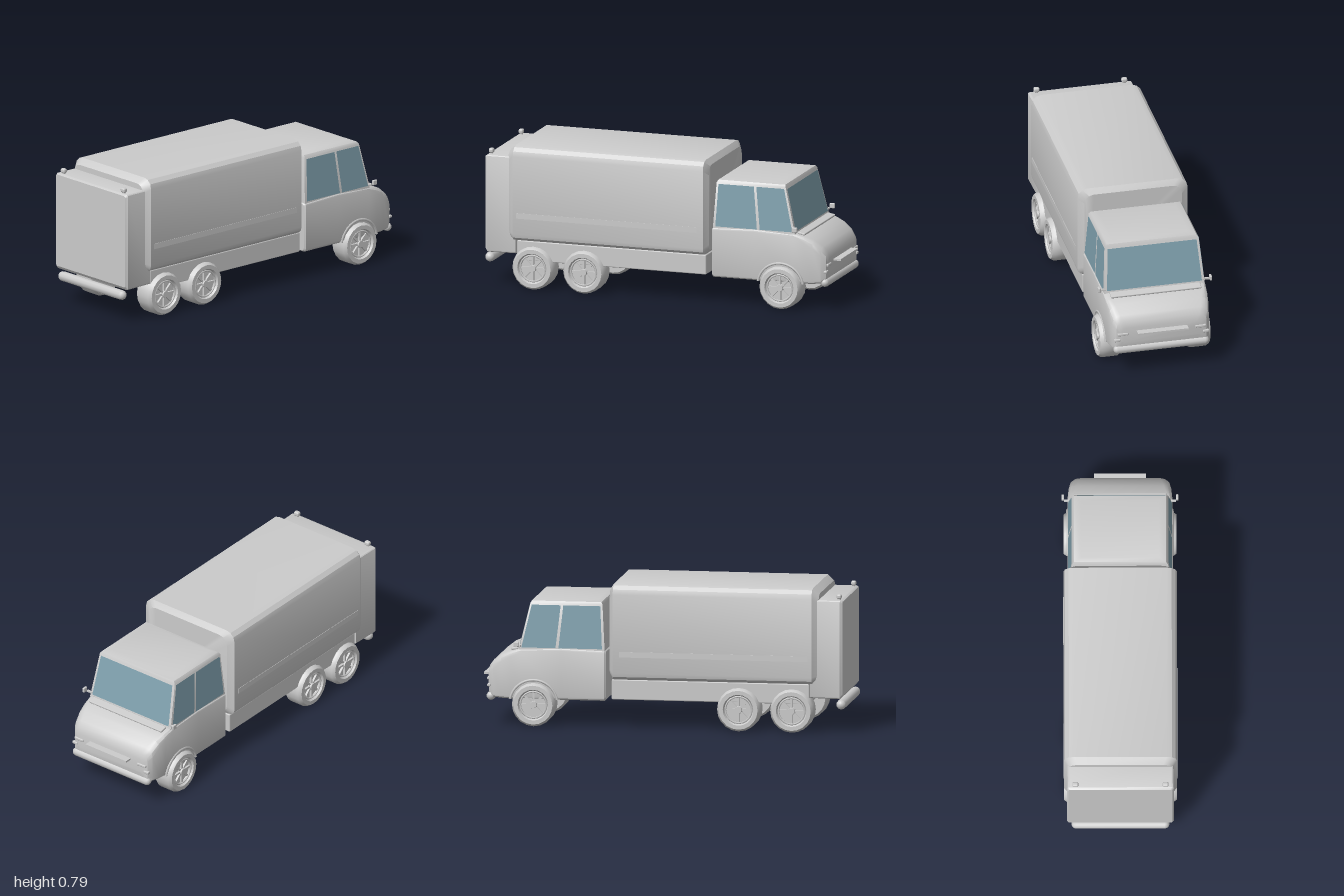
import * as THREE from 'three';
import { toCreasedNormals } from 'three/addons/utils/BufferGeometryUtils.js';
import { RoundedBoxGeometry } from 'three/addons/geometries/RoundedBoxGeometry.js';

const grey = new THREE.MeshStandardMaterial({ color: 0xcccccc });
const glass = new THREE.MeshStandardMaterial({ color: 0x7fa0ad, side: THREE.DoubleSide });

export function createModel() {
  const truck = new THREE.Group();
  truck.name = 'boxTruck';

  const add = (name, geometry, x = 0, y = 0, z = 0, parent = truck, material = grey) => {
    const mesh = new THREE.Mesh(geometry, material);
    mesh.name = name;
    mesh.position.set(x, y, z);
    parent.add(mesh);
    return mesh;
  };

  // Closed skin through rings of [x, y, z] points, capped at both ends
  const loft = (rings, crease = 0.5) => {
    const pos = [];
    const tri = (...p) => p.forEach((q) => pos.push(...q));
    const n = rings[0].length;
    const first = rings[0], last = rings[rings.length - 1];
    for (let k = 0; k < rings.length - 1; k++) {
      const a = rings[k], b = rings[k + 1];
      for (let i = 0; i < n; i++) {
        const j = (i + 1) % n;
        tri(a[i], a[j], b[j]);
        tri(a[i], b[j], b[i]);
      }
    }
    for (let i = 1; i < n - 1; i++) {
      tri(first[0], first[i + 1], first[i]);
      tri(last[0], last[i], last[i + 1]);
    }
    const g = new THREE.BufferGeometry();
    g.setAttribute('position', new THREE.Float32BufferAttribute(pos, 3));
    return toCreasedNormals(g, crease);
  };

  // Upright cross-section with rounded corners: top radius rt, bottom radius rb
  const section = (z, w, y0, y1, rt, rb) => {
    const ring = [];
    [[1, y0 + rb, rb, 3], [1, y1 - rt, rt, 0], [-1, y1 - rt, rt, 1], [-1, y0 + rb, rb, 2]]
      .forEach(([s, cy, r, quarter]) => {
        for (let i = 0; i <= 3; i++) {
          const a = (quarter + i / 3) * Math.PI / 2;
          ring.push([s * (w - r) + r * Math.cos(a), cy + r * Math.sin(a), z]);
        }
      });
    return ring;
  };

  // Cargo body
  add('cargoBody', loft([
    section(-0.287, 0.27, 0.285, 0.755, 0.05, 0.035),
    section(-0.265, 0.305, 0.262, 0.785, 0.055, 0.04),
    section(0.82, 0.305, 0.262, 0.785, 0.055, 0.04),
    section(0.855, 0.28, 0.28, 0.755, 0.05, 0.035),
  ]));

  // Rear compartment
  add('rearCompartment', loft([
    section(0.81, 0.285, 0.19, 0.725, 0.012, 0.012),
    section(0.972, 0.288, 0.188, 0.725, 0.012, 0.012),
    section(0.985, 0.28, 0.205, 0.718, 0.01, 0.01),
  ]));

  // Chassis
  add('chassis', new RoundedBoxGeometry(0.56, 0.11, 1.08, 1, 0.006), 0, 0.21, 0.265);

  // Cab lower body with tapering nose: z, half width, bottom, top, corner radius
  add('cabBody', loft([
    [-0.955, 0.225, 0.2, 0.285, 0.03],
    [-0.948, 0.25, 0.165, 0.32, 0.04],
    [-0.925, 0.267, 0.15, 0.35, 0.045],
    [-0.88, 0.276, 0.147, 0.385, 0.04],
    [-0.83, 0.281, 0.145, 0.405, 0.03],
    [-0.77, 0.284, 0.145, 0.42, 0.02],
    [-0.55, 0.284, 0.145, 0.428, 0.015],
    [-0.315, 0.284, 0.145, 0.42, 0.015],
    [-0.307, 0.277, 0.152, 0.413, 0.012],
  ].map(([z, w, y0, y1, r]) => section(z, w, y0, y1, r, 0.018))));

  // Upper cab with a gently crowned roof: y, half width, rear z, front z
  const lower = { y: 0.415, w: 0.278, rear: -0.313, front: -0.782 };
  const upper = { y: 0.667, w: 0.258, rear: -0.328, front: -0.722 };
  const level = (y, w, rear, front) => [[-w, y, rear], [w, y, rear], [w, y, front], [-w, y, front]];
  add('upperCab', loft([
    level(lower.y, lower.w, lower.rear, lower.front),
    level(upper.y, upper.w, upper.rear, upper.front),
    level(0.68, 0.248, -0.335, -0.716),
    level(0.688, 0.21, -0.36, -0.68),
  ], 0.6));

  // Window panes lying just outside the upper cab
  const mix = THREE.MathUtils.lerp;
  const pane = (name, corners) => {
    const g = new THREE.BufferGeometry();
    g.setAttribute('position', new THREE.Float32BufferAttribute(corners.flat(), 3));
    g.setIndex([0, 1, 2, 0, 2, 3]);
    g.computeVertexNormals();
    add(name, g, 0, 0, 0, truck, glass);
  };
  const sidePoint = (s, u, v) => [
    s * (mix(lower.w, upper.w, v) + 0.003),
    mix(lower.y, upper.y, v),
    mix(mix(lower.rear, upper.rear, v), mix(lower.front, upper.front, v), u),
  ];
  const frontPoint = (u, v) => [
    u * mix(lower.w, upper.w, v), mix(lower.y, upper.y, v), mix(lower.front, upper.front, v) - 0.003,
  ];
  const turn = (s, list) => (s > 0 ? list : list.reverse());
  for (const s of [1, -1]) {
    [['rearSideWindow', 0.03, 0.54], ['frontSideWindow', 0.575, 0.975]].forEach(([name, a, b]) =>
      pane(name, turn(s, [sidePoint(s, a, 0.05), sidePoint(s, b, 0.05), sidePoint(s, b, 0.97), sidePoint(s, a, 0.97)])));
  }
  pane('windshield', [frontPoint(0.95, 0.06), frontPoint(-0.95, 0.06), frontPoint(-0.95, 0.96), frontPoint(0.95, 0.96)]);

  // Cowl below the windshield and plate at the nose
  const cowl = add('cowl', new RoundedBoxGeometry(0.5, 0.012, 0.045, 1, 0.004), 0, 0.416, -0.806);
  cowl.rotation.x = -0.2;
  const plate = new THREE.Shape();
  plate.moveTo(-0.14, 0.05);
  plate.lineTo(0.14, 0.05);
  plate.lineTo(0.14, 0);
  plate.lineTo(-0.14, 0);
  const plateGeometry = new THREE.ExtrudeGeometry(plate, { depth: 0.01, bevelEnabled: false });
  plateGeometry.rotateX(-Math.PI / 2);
  add('nosePlate', plateGeometry, 0, 0.256, -0.945);

  // Round bumpers
  const bumper = (name, y, z, r) => {
    const bar = add(name, new THREE.CapsuleGeometry(r, 0.53 - 2 * r, 3, 10), 0, y, z);
    bar.rotation.z = Math.PI / 2;
  };
  bumper('rearBumper', 0.152, 0.972, 0.027);
  bumper('frontBumper', 0.155, -0.94, 0.024);

  // Wheel with a recessed spoked rim, axle along y before turning
  const tyreProfile = [
    [0, -0.058], [0.085, -0.06], [0.106, -0.06], [0.118, -0.042], [0.118, 0.042],
    [0.106, 0.06], [0.084, 0.06], [0.078, 0.052], [0.074, 0.034], [0, 0.034],
  ].map(([r, h]) => new THREE.Vector2(r, h));
  const tyre = toCreasedNormals(new THREE.LatheGeometry(tyreProfile, 20), 0.7);
  const spoke = new THREE.BoxGeometry(0.056, 0.012, 0.011);
  const rim = new THREE.TorusGeometry(0.072, 0.006, 5, 20).rotateX(Math.PI / 2);
  const hub = toCreasedNormals(new THREE.CylinderGeometry(0.018, 0.022, 0.024, 10), 0.7);
  const makeWheel = (name, s, z) => {
    const wheel = new THREE.Group();
    wheel.name = name;
    wheel.position.set(s * 0.245, 0.118, z);
    wheel.rotation.z = -s * Math.PI / 2;
    add('tyre', tyre, 0, 0, 0, wheel);
    add('rim', rim, 0, 0.047, 0, wheel);
    add('hub', hub, 0, 0.044, 0, wheel);
    for (let i = 0; i < 8; i++) {
      const a = i * Math.PI / 4;
      add('spoke', spoke, 0.045 * Math.cos(a), 0.041, -0.045 * Math.sin(a), wheel).rotation.y = a;
    }
    truck.add(wheel);
  };

  for (const s of [1, -1]) {
    makeWheel('frontWheel', s, -0.7);
    makeWheel('middleWheel', s, 0.42);
    makeWheel('rearWheel', s, 0.71);

    // Front wheel arch lip
    const arch = add('wheelArch', new THREE.TorusGeometry(0.13, 0.008, 5, 16, Math.PI * 0.88), s * 0.282, 0.122, -0.7);
    arch.rotation.set(0, Math.PI / 2, Math.PI * 0.06, 'YXZ');

    // Raised strip along the cargo side
    add('sideStrip', new THREE.BoxGeometry(0.006, 0.03, 1.03), s * 0.304, 0.405, 0.285);

    // Marker lamps on the rear compartment
    add('lampStem', new THREE.CylinderGeometry(0.008, 0.01, 0.015, 8), s * 0.243, 0.728, 0.962);
    add('markerLamp', new RoundedBoxGeometry(0.032, 0.026, 0.026, 2, 0.009), s * 0.243, 0.742, 0.962);

    // Door mirrors
    add('mirrorArm', new THREE.BoxGeometry(0.035, 0.01, 0.01), s * 0.285, 0.437, -0.775);
    add('mirror', new RoundedBoxGeometry(0.014, 0.028, 0.03, 2, 0.005), s * 0.308, 0.449, -0.79);

    // Slim headlights
    add('headlight', new RoundedBoxGeometry(0.06, 0.016, 0.02, 1, 0.005), s * 0.215, 0.25, -0.951);
    add('lowerLamp', new RoundedBoxGeometry(0.035, 0.016, 0.02, 1, 0.005), s * 0.245, 0.215, -0.948);
  }

  return truck;
}
